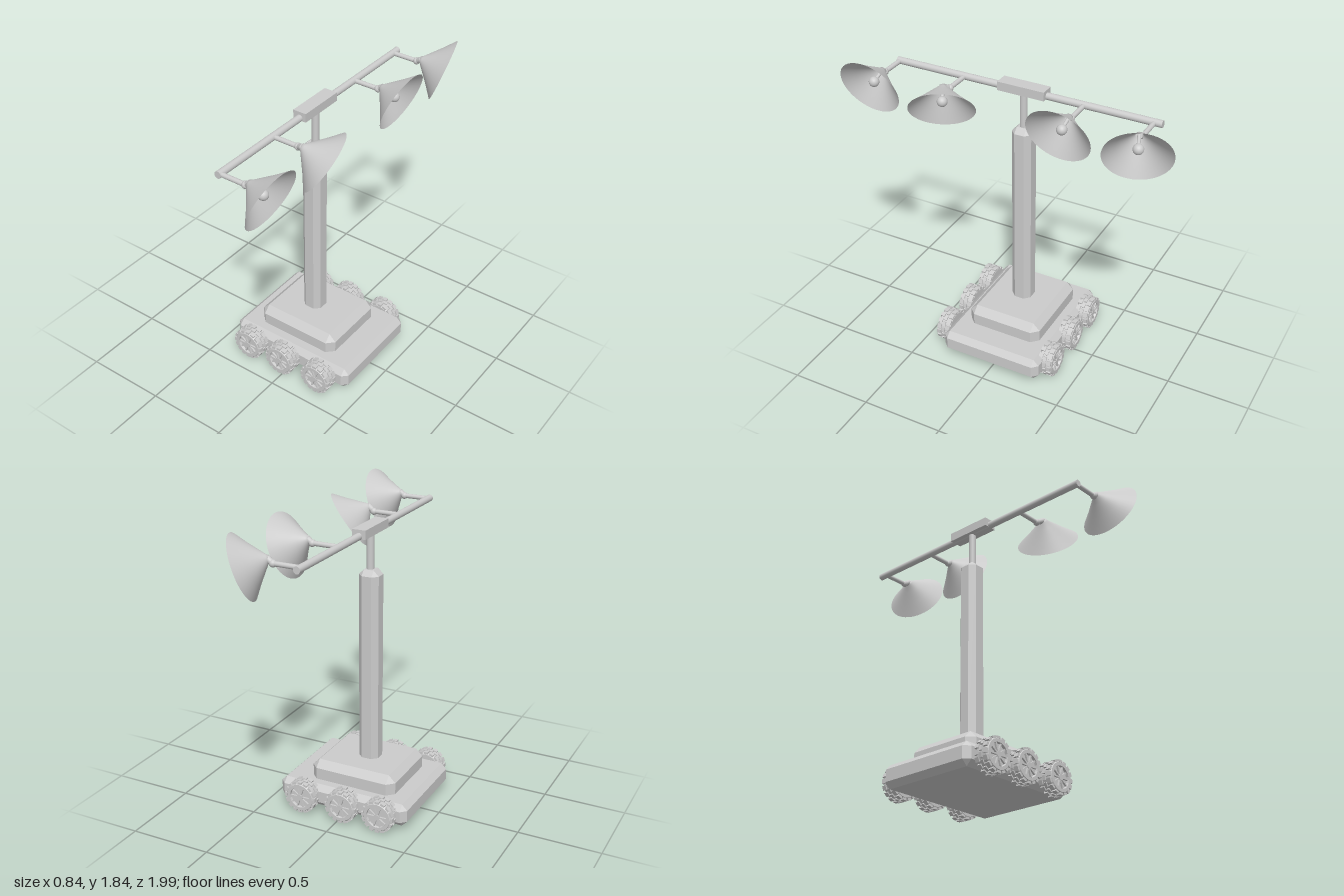
import * as THREE from 'three';
import { ConvexGeometry } from 'three/addons/geometries/ConvexGeometry.js';

const grey = new THREE.MeshStandardMaterial({ color: 0xcccccc });
const greyFlat = new THREE.MeshStandardMaterial({ color: 0xcccccc, flatShading: true });
const greyThin = new THREE.MeshStandardMaterial({ color: 0xcccccc, side: THREE.DoubleSide });
const V = (x, y, z) => new THREE.Vector3(x, y, z);

function add(parent, name, geometry, material, x = 0, y = 0, z = 0) {
  const mesh = new THREE.Mesh(geometry, material);
  mesh.name = name;
  mesh.position.set(x, y, z);
  parent.add(mesh);
  return mesh;
}

// Box with every edge bevelled by c, given by its low and high corners
function bevelBox(parent, name, lo, hi, c) {
  const h = hi.clone().sub(lo).multiplyScalar(0.5);
  const mid = lo.clone().add(hi).multiplyScalar(0.5);
  const points = [];
  for (const sx of [-1, 1]) for (const sy of [-1, 1]) for (const sz of [-1, 1]) {
    points.push(
      V(sx * h.x, sy * (h.y - c), sz * (h.z - c)),
      V(sx * (h.x - c), sy * h.y, sz * (h.z - c)),
      V(sx * (h.x - c), sy * (h.y - c), sz * h.z));
  }
  return add(parent, name, new ConvexGeometry(points), greyFlat, mid.x, mid.y, mid.z);
}

// Round bar between two points
function rod(parent, name, a, b, r, r2 = r) {
  const d = b.clone().sub(a);
  const m = add(parent, name, new THREE.CylinderGeometry(r2, r, d.length(), 20), grey);
  m.position.copy(a).addScaledVector(d, 0.5);
  m.quaternion.setFromUnitVectors(V(0, 1, 0), d.normalize());
  return m;
}

// Wheel whose outer face looks along +z, centred on its own axle
function makeWheel() {
  const wheel = new THREE.Group();
  wheel.name = 'wheel';
  const profile = [[0, -0.042], [0.085, -0.042], [0.094, -0.034], [0.094, 0.034],
    [0.085, 0.045], [0.066, 0.045], [0.063, 0.03], [0, 0.03]];
  const tyre = new THREE.LatheGeometry(profile.map(p => new THREE.Vector2(...p)), 24);
  tyre.rotateX(Math.PI / 2);
  add(wheel, 'tyre', tyre, greyFlat);

  // Two staggered rows of tread blocks and a narrow middle row
  const rows = [[-0.029, 0.026, 0], [0.029, 0.026, 0], [0, 0.018, 0.5]];
  const lugs = 16;
  for (const [z, depth, shift] of rows) {
    for (let i = 0; i < lugs; i++) {
      const a = (i + shift) / lugs * Math.PI * 2;
      const lug = add(wheel, 'treadBlock', new THREE.BoxGeometry(0.014, 0.026, depth), greyFlat,
        Math.cos(a) * 0.094, Math.sin(a) * 0.094, z);
      lug.rotation.z = a;
    }
  }
  // Hub and spokes
  const hub = add(wheel, 'hub', new THREE.CylinderGeometry(0.018, 0.018, 0.02, 16), grey, 0, 0, 0.034);
  hub.rotation.x = Math.PI / 2;
  for (let i = 0; i < 10; i++) {
    const a = i / 10 * Math.PI * 2;
    const spoke = add(wheel, 'spoke', new THREE.BoxGeometry(0.05, 0.009, 0.014), greyFlat,
      Math.cos(a) * 0.039, Math.sin(a) * 0.039, 0.034);
    spoke.rotation.z = a;
  }
  return wheel;
}

// Dish with its rim centre at the origin, opening along +y
function makeDish() {
  const dish = new THREE.Group();
  dish.name = 'dish';
  const profile = [[0, -0.152], [0.018, -0.15], [0.024, -0.14], [0.06, -0.108], [0.12, -0.055], [0.188, 0]];
  add(dish, 'reflector', new THREE.LatheGeometry(profile.map(p => new THREE.Vector2(...p)), 48), greyThin);
  rod(dish, 'feedStem', V(0, -0.15, 0), V(0, -0.05, 0), 0.01);
  add(dish, 'feedKnob', new THREE.SphereGeometry(0.03, 24, 16), grey, 0, -0.05, 0);
  return dish;
}

export function createModel() {
  const model = new THREE.Group();
  model.name = 'dishArrayRover';

  // Body and mast
  bevelBox(model, 'chassis', V(-0.42, 0.035, -0.322), V(0.42, 0.175, 0.322), 0.034);
  bevelBox(model, 'platform', V(-0.298, 0.12, -0.238), V(0.252, 0.29, 0.235), 0.043);
  bevelBox(model, 'mast', V(-0.102, 0.2, -0.062), V(0.024, 1.475, 0.062), 0.032);
  rod(model, 'post', V(-0.034, 1.45, 0), V(-0.034, 1.7, 0), 0.022);
  add(model, 'crossbarClamp', new THREE.BoxGeometry(0.084, 0.053, 0.29), greyFlat, -0.034, 1.712, 0);
  rod(model, 'crossbar', V(-0.034, 1.7, -0.825), V(-0.034, 1.7, 0.825), 0.021);

  // Three wheels on each side
  for (const x of [-0.265, -0.022, 0.248]) {
    for (const side of [1, -1]) {
      const wheel = makeWheel();
      wheel.position.set(x, 0.104, side > 0 ? 0.363 : -0.336);
      if (side < 0) wheel.rotation.y = Math.PI;
      model.add(wheel);
    }
  }

  // Dishes: arm z, rim centre, facing direction
  const dishes = [
    [0.808, V(0.29, 1.668, 0.808), V(0.935, -0.355, 0)],
    [0.376, V(0.278, 1.64, 0.343), V(0.72, -0.58, -0.36)],
    [-0.37, V(0.29, 1.668, -0.37), V(0.935, -0.355, 0)],
    [-0.778, V(0.29, 1.67, -0.82), V(0.88, -0.36, -0.34)],
  ];
  for (const [z, centre, facing] of dishes) {
    const unit = new THREE.Group();
    unit.name = 'dishUnit';
    const n = facing.clone().normalize();
    const joint = V(0.132, 1.7, z);
    rod(unit, 'arm', V(-0.034, 1.7, z), joint, 0.014);
    add(unit, 'joint', new THREE.SphereGeometry(0.021, 20, 14), grey, joint.x, joint.y, joint.z);
    rod(unit, 'neck', joint, centre.clone().addScaledVector(n, -0.14), 0.015, 0.02);
    const dish = makeDish();
    dish.position.copy(centre);
    dish.quaternion.setFromUnitVectors(V(0, 1, 0), n);
    unit.add(dish);
    model.add(unit);
  }
  return model;
}
